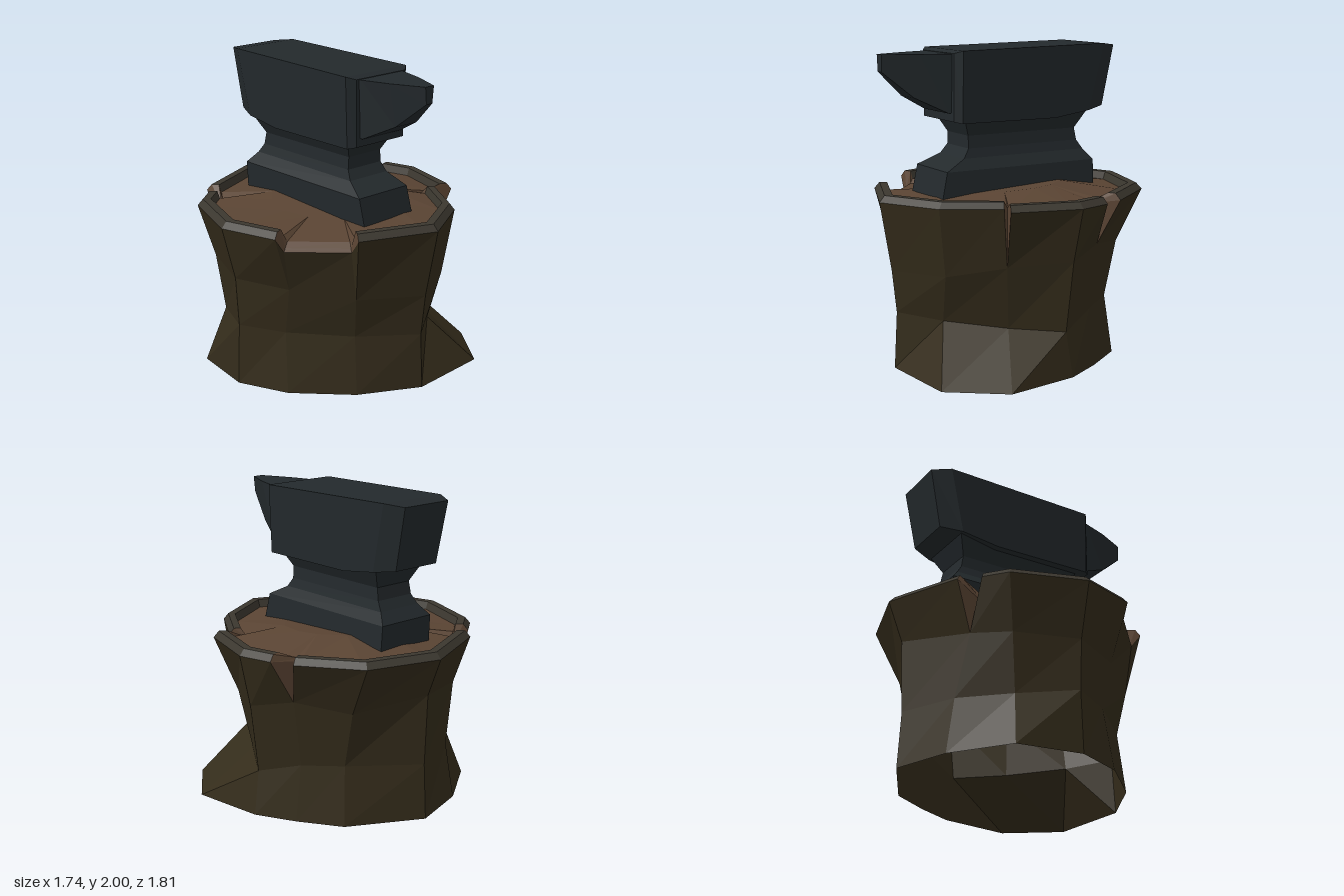
import * as THREE from 'three';

const V = (x, y, z) => new THREE.Vector3(x, y, z);

// Adds a triangle unless two of its corners meet
function tri(out, a, b, c) {
  if (!a.equals(b) && !b.equals(c) && !c.equals(a)) out.push(a, b, c);
}

// Faceted mesh from a flat list of corner points, three per triangle
function facets(name, points, color) {
  const geometry = new THREE.BufferGeometry().setFromPoints(points);
  geometry.computeVertexNormals();
  const material = new THREE.MeshStandardMaterial({ color, flatShading: true, side: THREE.DoubleSide });
  const mesh = new THREE.Mesh(geometry, material);
  mesh.name = name;
  return mesh;
}

// Skin over four-cornered rings, closed at both ends
function loft(name, rings, color) {
  const out = [];
  for (let r = 0; r < rings.length - 1; r++) {
    for (let i = 0; i < 4; i++) {
      const j = (i + 1) % 4, p = rings[r], q = rings[r + 1];
      out.push(p[i], p[j], q[j], p[i], q[j], q[i]);
    }
  }
  const s = rings[0], e = rings[rings.length - 1];
  out.push(s[0], s[2], s[1], s[0], s[3], s[2], e[0], e[1], e[2], e[0], e[2], e[3]);
  return facets(name, out, color);
}

// Trunk edges, each as foot, waist and chest points; the second and third flare into a root
const trunk = [
  [V(0.05, 0, 0.81), V(0.05, 0.36, 0.79), V(0.05, 0.63, 0.82)],
  [V(0.60, 0, 0.77), V(0.31, 0.34, 0.60), V(0.40, 0.64, 0.63)],
  [V(0.85, 0, 0.43), V(0.54, 0.30, 0.27), V(0.61, 0.70, 0.32)],
  [V(0.78, 0, -0.05), V(0.73, 0.28, -0.03), V(0.79, 0.73, -0.04)],
  [V(0.65, 0, -0.30), V(0.60, 0.36, -0.29), V(0.66, 0.79, -0.30)],
  [V(0.48, 0, -0.56), V(0.44, 0.38, -0.52), V(0.45, 0.74, -0.60)],
  [V(0.02, 0, -0.81), V(0.02, 0.36, -0.79), V(0.02, 0.82, -0.81)],
  [V(-0.36, 0, -0.69), V(-0.34, 0.36, -0.63), V(-0.44, 0.75, -0.59)],
  [V(-0.71, 0, -0.44), V(-0.59, 0.36, -0.37), V(-0.63, 0.73, -0.41)],
  [V(-0.77, 0, -0.02), V(-0.755, 0.40, -0.02), V(-0.775, 0.72, -0.02)],
  [V(-0.63, 0, 0.30), V(-0.60, 0.39, 0.25), V(-0.62, 0.70, 0.31)],
  [V(-0.33, 0, 0.61), V(-0.31, 0.38, 0.57), V(-0.35, 0.65, 0.62)],
];

// Rim points: trunk edge below, x, z, kind, height of the break
const RIM = 0, CRACK = 1, CHIP = 2;
const rimPoints = [
  [0, 0.06, 0.90, RIM], [1, 0.44, 0.69, RIM],
  [2, 0.64, 0.36, RIM], [2, 0.58, 0.30, CRACK, 1.04], [2, 0.75, 0.38, RIM],
  [3, 0.87, -0.05, RIM],
  [4, 0.81, -0.27, RIM], [4, 0.65, -0.30, CRACK, 1.05], [4, 0.75, -0.41, RIM],
  [5, 0.49, -0.77, RIM], [6, 0.02, -0.91, RIM],
  [7, -0.47, -0.70, RIM], [7, -0.48, -0.56, CRACK, 0.97], [7, -0.57, -0.59, RIM],
  [8, -0.71, -0.48, RIM], [9, -0.87, -0.02, RIM], [10, -0.76, 0.35, RIM],
  [10, -0.70, 0.36, CHIP, 0.98], [11, -0.41, 0.64, CHIP, 0.98],
  [11, -0.42, 0.71, RIM],
];

function stumpColumn([edge, x, z, kind, breakY]) {
  const at = (y, s) => V(x * s, y, z * s);
  const lip = kind === RIM
    ? [at(1.07, 1), at(1.11, 0.96), at(1.11, 0.9), at(1.06, 0.88)]
    : [at(breakY, 1), at(breakY + 0.01, 0.985), at(breakY + 0.02, 0.975), at(Math.min(1.06, breakY + 0.05), 0.96 - 0.03 * (kind - 1))];
  // Cut face swells to one side between the lip and the centre
  const chest = trunk[edge][2], a = Math.atan2(chest.x, chest.z), r = 0.38;
  const swell = V(Math.sin(a) * r, 1.1 + 0.03 * Math.cos(a - 2.25), Math.cos(a) * r);
  return [...trunk[edge], ...lip, swell, V(0, 1.1, 0)];
}

function createStump() {
  const group = new THREE.Group();
  group.name = 'stump';
  const bark = [], rim = [], wood = [];
  const grid = rimPoints.map(stumpColumn);
  grid.forEach((a, i) => {
    const k = (i + 1) % grid.length, b = grid[k];
    const kinds = [rimPoints[i][3], rimPoints[k][3]];
    const cracked = kinds.includes(CRACK), broken = cracked || kinds.includes(CHIP);
    for (let r = 0; r < a.length - 1; r++) {
      let target = wood;
      if (r < 2 || (r === 2 && !cracked)) target = bark;
      else if (r < 6 && !broken) target = rim;
      tri(target, a[r], b[r], b[r + 1]);
      tri(target, a[r], b[r + 1], a[r + 1]);
    }
  });
  group.add(facets('bark', bark, 0x342c1b), facets('barkRim', rim, 0x3b372f), facets('cutWood', wood, 0x5a4433));
  return group;
}

function createAnvil() {
  const group = new THREE.Group();
  group.name = 'anvil';
  const iron = 0x23292c;

  // Foot and waist: height, left and right x, front z, back z
  const base = [
    [1.07, -0.21, 0.205, 0.54, -0.585], [1.24, -0.215, 0.195, 0.50, -0.588], [1.31, -0.16, 0.155, 0.36, -0.53],
    [1.37, -0.14, 0.14, 0.32, -0.49], [1.45, -0.135, 0.135, 0.32, -0.475], [1.57, -0.20, 0.20, 0.38, -0.53],
  ].map(([y, l, r, f, b]) => [V(l, y, f), V(r, y, f), V(r, y, b), V(l, y, b)]);
  group.add(loft('anvilBase', base, iron));

  // Sections along z: bottom z, top z, bottom half width, top half width, bottom y, top y
  const section = ([zb, zt, wb, wt, yb, yt]) => [V(-wb, yb, zb), V(wb, yb, zb), V(wt, yt, zt), V(-wt, yt, zt)];
  const head = [
    [-0.67, -0.75, 0.17, 0.18, 1.59, 1.985], [-0.53, -0.63, 0.225, 0.24, 1.57, 2.0],
    [-0.27, -0.27, 0.23, 0.245, 1.535, 1.995], [0.415, 0.415, 0.24, 0.255, 1.54, 1.985],
    [0.455, 0.455, 0.20, 0.205, 1.55, 1.968],
  ];
  group.add(loft('anvilHead', head.map(section), iron));

  const horn = [
    [0.42, 0.42, 0.18, 0.19, 1.61, 1.965], [0.47, 0.47, 0.165, 0.18, 1.60, 1.965],
    [0.67, 0.65, 0.09, 0.125, 1.70, 1.965], [0.855, 0.855, 0.025, 0.035, 1.86, 1.965],
  ];
  group.add(loft('anvilHorn', horn.map(section), iron));
  return group;
}

export function createModel() {
  const model = new THREE.Group();
  model.name = 'anvilOnStump';
  model.add(createStump(), createAnvil());
  return model;
}
